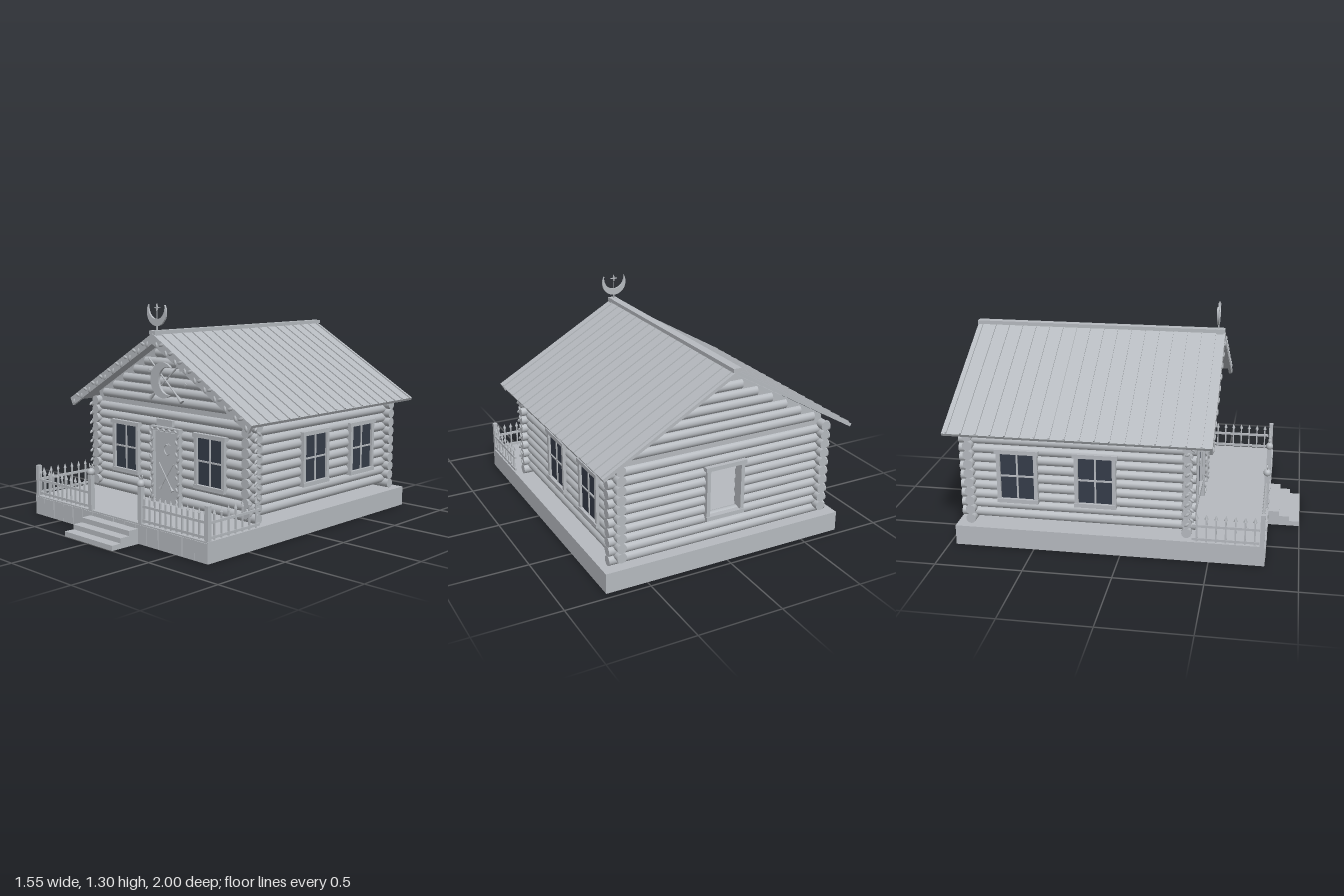
import * as THREE from 'three';

const grey = new THREE.MeshStandardMaterial({ color: 0xb6babf });
grey.name = 'weatheredGrey';
const glass = new THREE.MeshStandardMaterial({ color: 0x353c49 });
glass.name = 'darkGlass';

const add = (parent, name, geo, x = 0, y = 0, z = 0, mat = grey) => {
  const m = new THREE.Mesh(geo, mat);
  m.name = name;
  m.position.set(x, y, z);
  parent.add(m);
  return m;
};
const box = (p, name, w, h, d, x, y, z, mat) => add(p, name, new THREE.BoxGeometry(w, h, d), x, y, z, mat);
const group = (parent, name) => {
  const g = new THREE.Group();
  g.name = name;
  parent.add(g);
  return g;
};
const extrude = (shape, depth) => new THREE.ExtrudeGeometry(shape, { depth, bevelEnabled: false, curveSegments: 28 });
const poly = pts => new THREE.Shape(pts.map(p => new THREE.Vector2(...p)));

// Crescent opening toward +x
function crescent(r, tip, offset, depth) {
  const tx = r * Math.cos(tip), ty = r * Math.sin(tip), d = r * offset;
  const b = Math.atan2(ty, tx - d);
  const s = new THREE.Shape();
  s.absarc(0, 0, r, tip, Math.PI * 2 - tip, false);
  s.absarc(d, 0, Math.hypot(tx - d, ty), -b, b, true);
  return extrude(s, depth);
}

// Four-pointed star
function star(r, depth) {
  const pts = [];
  for (let i = 0; i < 8; i++) {
    const q = i % 2 ? r * 0.25 : r, a = i * Math.PI / 4;
    pts.push([q * Math.cos(a), q * Math.sin(a)]);
  }
  return extrude(poly(pts), depth);
}

// Two crossed broomsticks, bristles at the lower ends
function crossedBrooms(parent, w, h, r, x, y, z) {
  const g = group(parent, 'crossedBrooms');
  g.position.set(x, y, z);
  for (const s of [-1, 1]) {
    const b = group(g, 'broom');
    b.rotation.z = s * Math.atan2(w, h);
    const len = 2 * Math.hypot(w, h);
    add(b, 'broomHandle', new THREE.CylinderGeometry(r, r, len, 8), 0, 0, s * r);
    add(b, 'broomBristles', new THREE.CylinderGeometry(r, r * 2.8, len * 0.16, 8), 0, -len * 0.42, s * r);
  }
}

const leafGeo = new THREE.SphereGeometry(1, 8, 6);
function leaf(parent, x, y, z, turn, len = 0.02) {
  const m = add(parent, 'leaf', leafGeo, x, y, z);
  m.scale.set(len, len * 0.5, 0.006);
  m.rotation.z = turn;
  return m;
}

// Window facing +z, centred on its opening
function windowUnit(parent, x, z, turn, glazed = true) {
  const g = group(parent, 'window');
  g.position.set(x, 0.418, z);
  g.rotation.y = turn;
  for (const s of [-1, 1]) box(g, 'windowJamb', 0.022, 0.28, 0.06, s * 0.108, 0, -0.01);
  box(g, 'windowLintel', 0.256, 0.024, 0.07, 0, 0.148, -0.01);
  box(g, 'windowSill', 0.24, 0.024, 0.07, 0, -0.15, -0.01);
  if (!glazed) return;
  box(g, 'windowPane', 0.2, 0.28, 0.008, 0, 0, 0.002, glass);
  box(g, 'windowBar', 0.01, 0.28, 0.012, 0, 0, 0.006);
  box(g, 'windowBar', 0.2, 0.01, 0.012, 0, 0, 0.006);
}

// Stacked log wall, cut around openings [centre, width, bottom, top]
const R = 0.0285, STEP = 0.056;
function logWall(parent, name, alongX, fixed, a, b, y0, openings) {
  const g = group(parent, name);
  for (let i = 0; i < 10; i++) {
    const y = y0 + i * STEP;
    let start = a;
    const cuts = openings.filter(o => y > o[2] && y < o[3]).sort((p, q) => p[0] - q[0]);
    for (const [c, w] of [...cuts, [b, 0]]) {
      const end = c - w / 2, mid = (start + end) / 2;
      const geo = new THREE.CylinderGeometry(R, R, end - start, 18);
      if (alongX) add(g, 'log', geo.rotateZ(Math.PI / 2), mid, y, fixed);
      else add(g, 'log', geo.rotateX(Math.PI / 2), fixed, y, mid);
      start = c + w / 2;
    }
  }
}

// Fence from (x0,z0) to (x1,z1)
function fence(parent, x0, z0, x1, z1, n) {
  const g = group(parent, 'fence');
  const len = Math.hypot(x1 - x0, z1 - z0);
  g.position.set(x0, 0, z0);
  g.rotation.y = -Math.atan2(z1 - z0, x1 - x0);
  for (const y of [0.135, 0.215]) box(g, 'fenceRail', len, 0.014, 0.012, len / 2, y, 0);
  for (let i = 0; i < n; i++) {
    const x = len * (i + 0.5) / n;
    box(g, 'picket', 0.009, 0.14, 0.008, x, 0.19, 0);
    add(g, 'picketPoint', new THREE.ConeGeometry(0.012, 0.03, 4), x, 0.272, 0);
  }
}

export function createModel() {
  const root = new THREE.Group();
  root.name = 'logCabin';

  // Platform, skirting boards and steps
  box(root, 'platform', 1.49, 0.118, 1.77, 0, 0.059, -0.075);
  for (let i = 0; i < 16; i++)
    box(root, 'skirtBoard', 0.088, 0.108, 0.006, -0.698 + i * 0.093, 0.056, 0.81 + (i % 2) * 0.002);
  for (let i = 0; i < 3; i++) {
    const d = 0.19 - i * 0.061;
    box(root, 'step', 0.414, 0.029, d, 0, 0.0145 + i * 0.029, 0.81 + d / 2);
  }

  // Log walls
  const win = c => [c, 0.2, 0.28, 0.556];
  logWall(root, 'frontWall', true, 0.37, -0.7, 0.7, 0.146, [win(-0.36), win(0.36), [0, 0.2, 0.1, 0.56]]);
  logWall(root, 'backWall', true, -0.88, -0.7, 0.7, 0.146, [win(0)]);
  for (const s of [-1, 1])
    logWall(root, s > 0 ? 'leftWall' : 'rightWall', false, s * 0.64, -0.94, 0.417, 0.174, [win(-0.15), win(-0.6)]);

  // Gables: stepped logs over a backing board
  for (const z of [0.37, -0.88]) {
    const g = group(root, 'gable');
    add(g, 'gableBoard', extrude(poly([[-0.64, 0.67], [0.64, 0.67], [0.64, 0.735], [0, 1.105], [-0.64, 0.735]]), 0.02), 0, 0, z - 0.01);
    for (let i = 0; i < 6; i++) {
      const geo = new THREE.CylinderGeometry(R, R, 2 * (0.585 - i * 0.097), 18).rotateZ(Math.PI / 2);
      add(g, 'gableLog', geo, 0, 0.732 + i * STEP, z);
    }
  }

  // Windows
  for (const s of [-1, 1]) {
    windowUnit(root, s * 0.36, 0.395, 0);
    for (const z of [-0.15, -0.6]) windowUnit(root, s * 0.665, z, s * Math.PI / 2);
  }
  windowUnit(root, 0, -0.905, Math.PI, false);

  // Door with frame, sign, moon, brooms and garland
  const door = group(root, 'door');
  box(door, 'doorPanel', 0.19, 0.43, 0.025, 0, 0.333, 0.39);
  for (const s of [-1, 1]) box(door, 'doorJamb', 0.022, 0.45, 0.06, s * 0.111, 0.343, 0.39);
  box(door, 'doorLintel', 0.25, 0.024, 0.065, 0, 0.568, 0.39);
  box(door, 'doorSign', 0.13, 0.04, 0.02, 0, 0.606, 0.41);
  add(door, 'doorMoon', crescent(0.036, 0.85, 0.45, 0.008), -0.004, 0.443, 0.402).rotation.z = 0.2;
  add(door, 'doorStar', star(0.014, 0.006), 0.022, 0.475, 0.402);
  crossedBrooms(door, 0.058, 0.08, 0.0035, 0, 0.283, 0.407);
  for (const s of [-1, 1])
    for (let i = 0; i < 12; i++)
      leaf(door, s * (0.111 + (i % 2 ? 0.007 : -0.007)), 0.15 + i * 0.035, 0.423, s * (i % 2 ? 1 : 2.1), 0.016);
  for (let i = 0; i < 9; i++) leaf(door, -0.1 + i * 0.025, 0.565 + (i % 2) * 0.012, 0.426, i % 2 ? 0.5 : -0.5, 0.015);

  // Gable ornament
  const orn = group(root, 'gableOrnament');
  crossedBrooms(orn, 0.14, 0.12, 0.005, 0, 0.86, 0.405);
  add(orn, 'gableMoon', crescent(0.105, 0.87, 0.45, 0.015), -0.005, 0.857, 0.412);
  for (const [x, y, r] of [[-0.145, 0.907, 0.013], [0.16, 0.848, 0.014], [0.12, 0.925, 0.014], [0.16, 0.96, 0.01]])
    add(orn, 'gableStar', star(r, 0.008), x, y, 0.4);

  // Roof, battens and bargeboards
  const roof = group(root, 'roof');
  const slope = Math.atan2(0.445, 0.772), len = Math.hypot(0.445, 0.772);
  const chevron = t => {
    const nx = t * Math.sin(slope), ny = t * Math.cos(slope), dy = t / Math.cos(slope);
    return poly([[0, 1.135], [-0.772, 0.69], [-0.772 + nx, 0.69 - ny], [0, 1.135 - dy], [0.772 - nx, 0.69 - ny], [0.772, 0.69]]);
  };
  add(roof, 'roofPanels', extrude(chevron(0.018), 1.5), 0, 0, -1);
  add(roof, 'bargeboards', extrude(chevron(0.052), 0.017), 0, 0, 0.494);
  for (const s of [-1, 1]) {
    for (let i = 0; i < 18; i++) {
      const b = box(roof, 'roofBatten', len - 0.004, 0.01, 0.009, s * 0.386, 0.9145, 0.452 - i * 0.0838);
      b.rotation.z = -s * slope;
    }
    for (let i = 0; i < 19; i++) {
      const x = 0.04 + i * 0.0385;
      leaf(roof, s * x, 1.105 - x * 0.5764 + (i % 2 ? 0.012 : -0.012), 0.513, s * (i % 2 ? 0.35 : -1.3), 0.019);
    }
  }
  box(roof, 'ridgeCap', 0.048, 0.022, 1.51, 0, 1.139, -0.245);

  // Roof finial
  const fin = group(root, 'finial');
  box(fin, 'finialBlock', 0.046, 0.03, 0.05, 0, 1.137, 0.475);
  add(fin, 'finialPin', new THREE.CylinderGeometry(0.005, 0.005, 0.05, 8), 0, 1.165, 0.47);
  add(fin, 'finialMoon', crescent(0.08, 1.0, 0.36, 0.012), 0, 1.255, 0.464).rotation.z = Math.PI / 2;
  add(fin, 'finialStar', star(0.025, 0.008), 0, 1.28, 0.466);
  add(fin, 'finialStem', new THREE.CylinderGeometry(0.002, 0.002, 0.06, 6), 0, 1.235, 0.47);

  // Porch fence with gate posts, and vines on the corner logs
  for (const s of [-1, 1]) {
    fence(root, s * 0.22, 0.795, s * 0.73, 0.795, 12);
    fence(root, s * 0.735, 0.78, s * 0.735, 0.405, 7);
    box(root, 'cornerPost', 0.026, 0.19, 0.026, s * 0.73, 0.21, 0.795);
    box(root, 'gatePost', 0.028, 0.21, 0.028, s * 0.217, 0.22, 0.797);
    add(root, 'gateBall', new THREE.SphereGeometry(0.023, 18, 12), s * 0.217, 0.34, 0.797);
    add(root, 'gateMoon', crescent(0.016, 0.7, 0.45, 0.006), s * 0.217, 0.378, 0.794).rotation.z = Math.PI / 2;
    for (let i = 0; i < 16; i++) {
      const m = leaf(root, s * 0.703, 0.2 + i * 0.03, 0.385 + (i % 2 ? 0.014 : -0.012), 0, 0.017);
      m.rotation.set(0, Math.PI / 2, i % 2 ? 0.7 : -0.7);
    }
  }
  return root;
}
